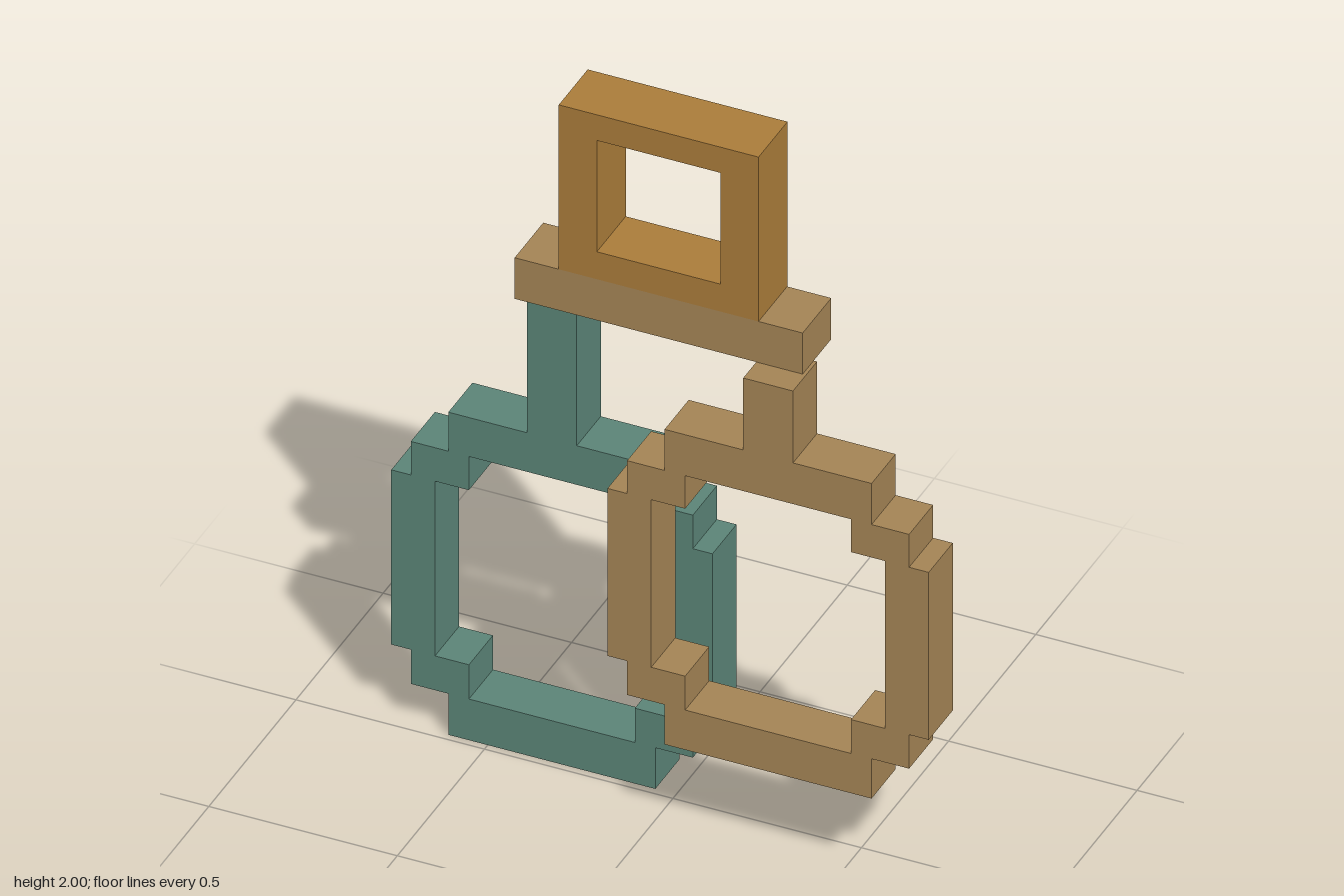
import * as THREE from 'three';

const mat = (name, color) => {
  const m = new THREE.MeshStandardMaterial({ color });
  m.name = name;
  return m;
};

// Half outline (right side, bottom to top) mirrored into a closed loop around cx
const mirrored = (cx, half) => [
  ...half.map(([x, y]) => new THREE.Vector2(cx + x, y)),
  ...half.slice().reverse().map(([x, y]) => new THREE.Vector2(cx - x, y)),
];

// Flat plate with a hole, extruded from z0 to z1
function frame(name, material, outer, hole, z0, z1) {
  const shape = new THREE.Shape(outer);
  shape.holes.push(new THREE.Path(hole));
  const geo = new THREE.ExtrudeGeometry(shape, { depth: z1 - z0, bevelEnabled: false });
  geo.translate(0, 0, z0);
  const mesh = new THREE.Mesh(geo, material);
  mesh.name = name;
  return mesh;
}

// Stepped ring with its hanging stem; ys are the step heights from bottom to top
function steppedRing(name, material, cx, ys, z0, z1) {
  const [y0, y1, y2, y3, y4, y5, stemTop] = ys;
  const bar = 0.2745, corner = 0.374, side = 0.426, stem = 0.066;
  const innerCorner = 0.22, innerSide = 0.31;
  const outer = mirrored(cx, [
    [bar, y0], [bar, y1], [corner, y1], [corner, y2], [side, y2], [side, y3],
    [corner, y3], [corner, y4], [bar, y4], [bar, y5], [stem, y5], [stem, stemTop],
  ]);
  const hole = mirrored(cx, [
    [innerCorner, y1], [innerCorner, y2], [innerSide, y2],
    [innerSide, y3], [innerCorner, y3], [innerCorner, y4],
  ]);
  return frame(name, material, outer, hole, z0, z1);
}

export function createModel() {
  const model = new THREE.Group();
  model.name = 'hangingRings';
  const gold = mat('gold', 0xaa7c3a);
  const tan = mat('tan', 0xa48455);
  const teal = mat('teal', 0x5b8477);

  // Square loop at the top
  model.add(frame('topLoop', gold,
    mirrored(0, [[0.265, 1.52], [0.265, 2]]),
    mirrored(0, [[0.164, 1.6], [0.164, 1.925]]), -0.084, 0.082));

  // Crossbar carrying both rings
  const bar = new THREE.Mesh(new THREE.BoxGeometry(0.764, 0.12, 0.164), tan);
  bar.name = 'crossbar';
  bar.position.set(0, 1.46, 0);
  model.add(bar);

  // Rear and front rings
  model.add(steppedRing('rearRing', teal, -0.33,
    [0, 0.12, 0.22, 0.73, 0.828, 0.942, 1.4], -0.157, -0.019));
  model.add(steppedRing('frontRing', tan, 0.325,
    [0.27, 0.386, 0.485, 0.974, 1.07, 1.19, 1.4], 0.019, 0.157));
  return model;
}
